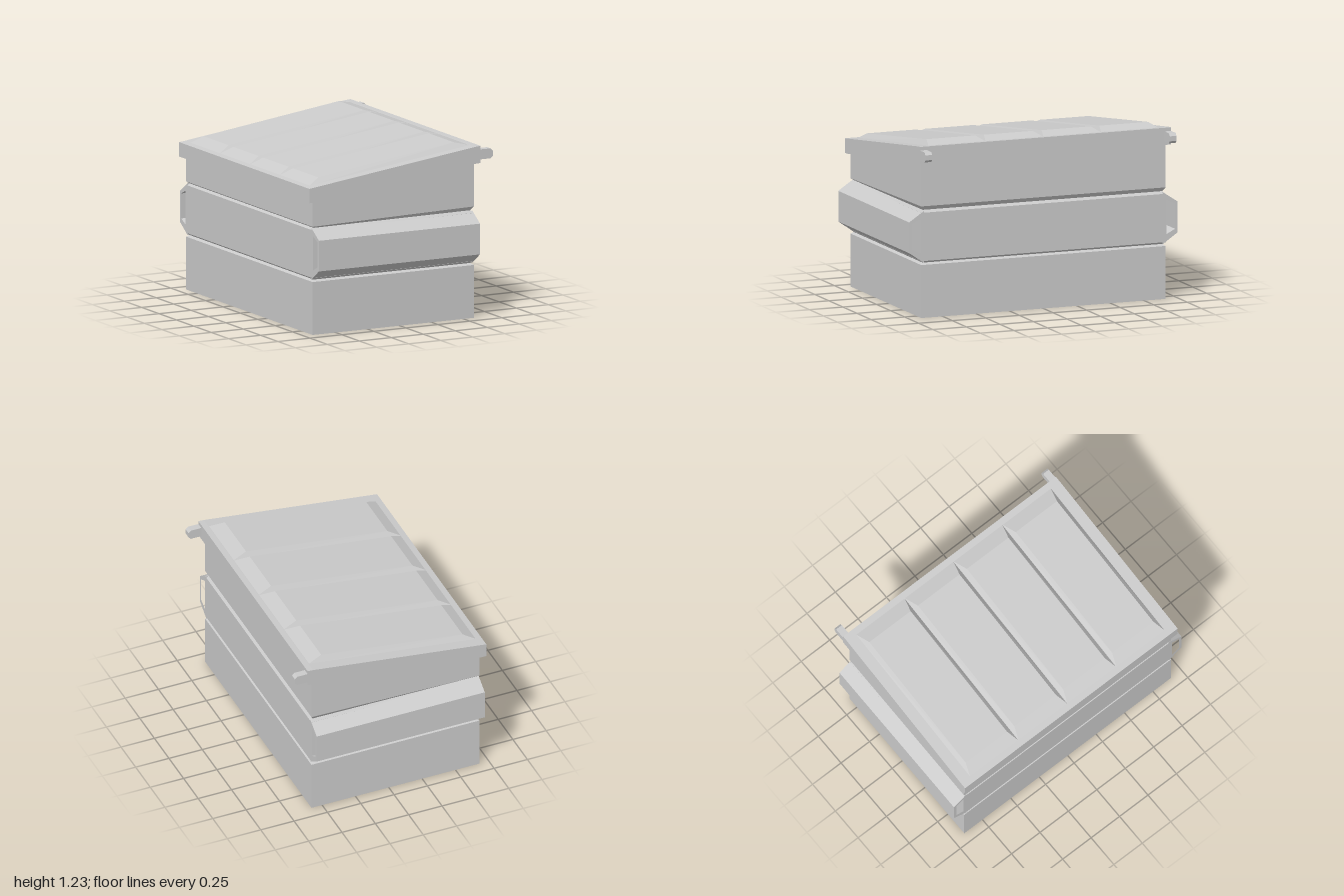
import * as THREE from 'three';

const X0 = -0.68, X1 = 0.58, ZB = 0.91;

// Closed solid lofted through rectangular rings of [x0, x1, z0, z1, y at x0, y at x1], listed bottom to top.
function loft(rings) {
  const corners = rings.map(([x0, x1, z0, z1, ya, yb]) =>
    [[x0, ya, z0], [x0, ya, z1], [x1, yb, z1], [x1, yb, z0]]);
  const pos = [];
  const quad = (a, b, c, d) => pos.push(...a, ...b, ...c, ...a, ...c, ...d);
  for (let r = 0; r < corners.length - 1; r++) {
    const lo = corners[r], hi = corners[r + 1];
    for (let i = 0; i < 4; i++) {
      const j = (i + 1) % 4;
      quad(lo[i], lo[j], hi[j], hi[i]);
    }
  }
  const b = corners[0], t = corners[corners.length - 1];
  quad(b[3], b[2], b[1], b[0]);
  quad(t[0], t[1], t[2], t[3]);
  const geo = new THREE.BufferGeometry();
  geo.setAttribute('position', new THREE.Float32BufferAttribute(pos, 3));
  geo.computeVertexNormals();
  return geo;
}

const polygon = (pts) => pts.map(([x, y]) => new THREE.Vector2(x, y));

// Outline in x and y, extruded from z0 to z1
function extrudeZ(pts, z0, z1) {
  const geo = new THREE.ExtrudeGeometry(new THREE.Shape(polygon(pts)), { depth: z1 - z0, bevelEnabled: false });
  return geo.translate(0, 0, z0);
}

export function createModel() {
  const model = new THREE.Group();
  const material = new THREE.MeshStandardMaterial({ color: 0xcccccc, flatShading: true });
  const add = (name, geo) => {
    const mesh = new THREE.Mesh(geo, material);
    mesh.name = name;
    model.add(mesh);
  };

  // Container with two pressed grooves and a sloping rim: [inset, y at low side, y at high side]
  const levels = [
    [0, 0, 0], [0, 0.37, 0.37], [0.018, 0.383, 0.383], [0, 0.397, 0.397],
    [0, 0.732, 0.735], [0.018, 0.745, 0.752], [0, 0.757, 0.78], [0, 0.96, 1.11],
  ];
  add('container', loft(levels.map(([d, ya, yb]) => [X0 + d, X1 - d, -ZB + d, ZB - d, ya, yb])));

  // Hollow lifting sleeves along both ends
  for (const s of [1, -1]) {
    const shape = new THREE.Shape(polygon(
      [[0.89, 0.385], [1, 0.46], [1, 0.675], [0.89, 0.747]].map(([z, y]) => [-s * z, y])));
    shape.holes.push(new THREE.Path(polygon(
      [[0.915, 0.452], [0.98, 0.485], [0.98, 0.66], [0.915, 0.692]].map(([z, y]) => [-s * z, y]))));
    const geo = new THREE.ExtrudeGeometry(shape, { depth: X1 - X0, bevelEnabled: false });
    add(s > 0 ? 'frontLiftSleeve' : 'backLiftSleeve', geo.rotateY(Math.PI / 2).translate(X0, 0, 0));
  }

  // Sloping lid overhanging the rim
  add('lid', extrudeZ([
    [-0.72, 0.93], [X0, 0.93], [X1, 1.083], [0.62, 1.085],
    [0.62, 1.205], [X1, 1.202], [X0, 1.036], [-0.72, 1.031],
  ], -0.935, 0.935));

  // Four raised panels, their bevels meeting in V grooves
  const seams = [-0.857, -0.43, 0, 0.43, 0.857];
  for (let i = 0; i < 4; i++) {
    const z0 = seams[i], z1 = seams[i + 1];
    add('lidPanel', loft([
      [X0, X1, z0, z1, 1.034, 1.2],
      [-0.59, 0.47, z0 + 0.032, z1 - 0.032, 1.08, 1.225],
    ]));
  }

  // Hinge lugs on the high side
  for (const s of [1, -1]) {
    const za = s > 0 ? 0.885 : -0.935;
    add(s > 0 ? 'frontHinge' : 'backHinge', extrudeZ([
      [0.6, 1.11], [0.698, 1.11], [0.715, 1.127], [0.715, 1.162], [0.698, 1.18], [0.6, 1.18],
    ], za, za + 0.05));
  }
  return model;
}
